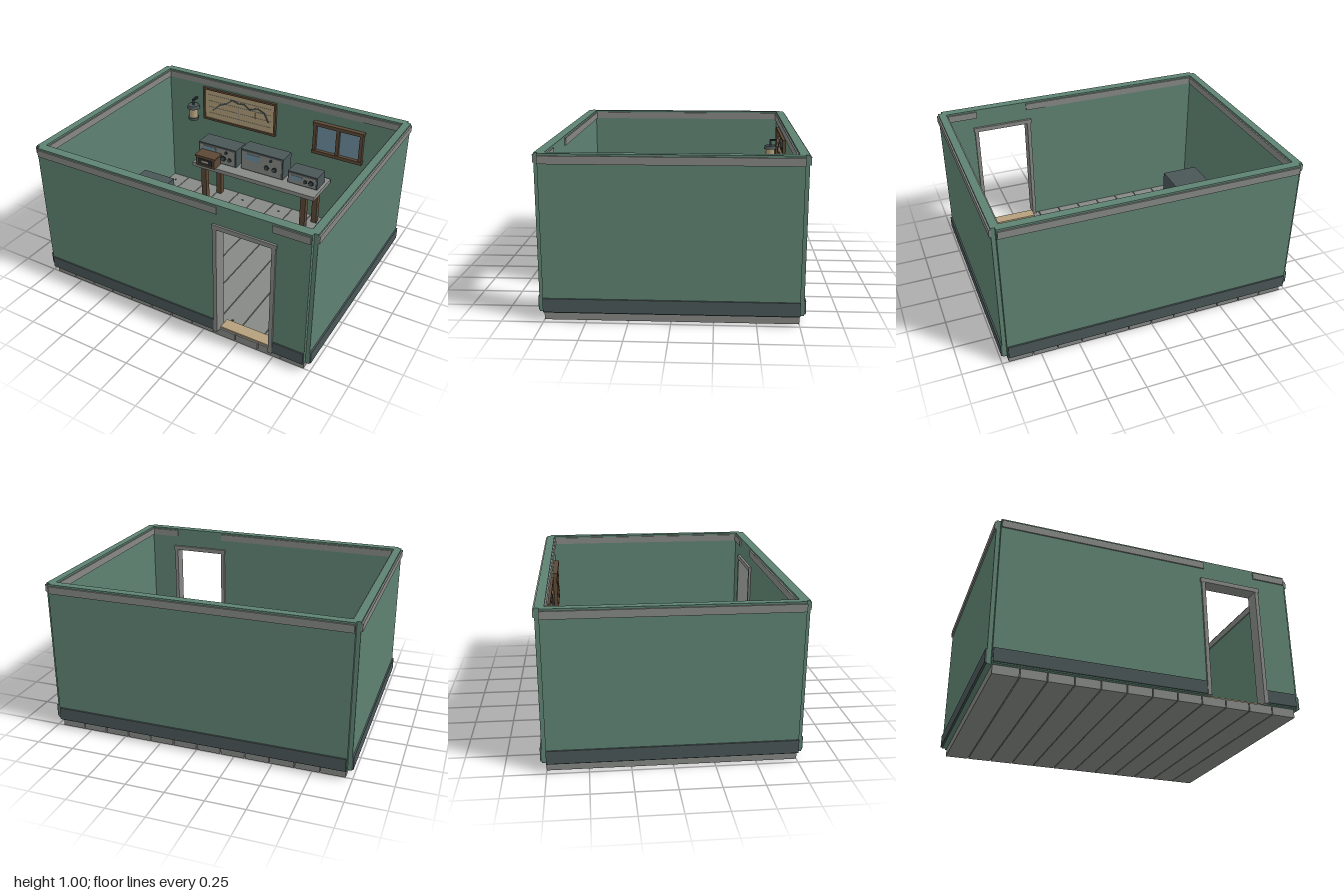
import * as THREE from 'three';

const mat = (name, color) => {
  const m = new THREE.MeshStandardMaterial({ color });
  m.name = name;
  return m;
};

export function createModel() {
  const green = mat('wall green', 0x5e8272);
  const grey = mat('weathered grey', 0x868885);
  const slate = mat('dark slate', 0x4a5657);
  const brown = mat('brown wood', 0x5c4835);
  const tan = mat('pale tan', 0xb5a07c);
  const blue = mat('glass blue', 0x6c8d9f);
  const dark = mat('near black', 0x272d2d);

  const model = new THREE.Group();
  model.name = 'radioHut';

  const group = (name, parent = model) => {
    const g = new THREE.Group();
    g.name = name;
    parent.add(g);
    return g;
  };
  // Box given by its limits on each axis
  const box = (parent, name, m, [x0, x1], [y0, y1], [z0, z1]) => {
    const b = new THREE.Mesh(new THREE.BoxGeometry(x1 - x0, y1 - y0, z1 - z0), m);
    b.position.set((x0 + x1) / 2, (y0 + y1) / 2, (z0 + z1) / 2);
    b.name = name;
    parent.add(b);
    return b;
  };
  // Upright cylinder, or one facing +z
  const disc = (parent, name, m, r, len, x, y, z, facing = false, rTop = r) => {
    const c = new THREE.Mesh(new THREE.CylinderGeometry(rTop, r, len, 16), m);
    if (facing) c.rotation.x = Math.PI / 2;
    c.position.set(x, y, z);
    c.name = name;
    parent.add(c);
    return c;
  };

  // Floor planks with open seams, and nail heads on every second plank
  const floor = group('floor');
  for (let i = 0; i < 12; i++) {
    const x = -0.88 + i * 0.16;
    box(floor, 'plank', grey, [x - 0.077, x + 0.077], [0, 0.055], [-0.75, 0.75]);
    if (i % 2 === 0) for (const z of [-0.64, 0.64]) disc(floor, 'nail', slate, 0.008, 0.006, x, 0.057, z);
  }

  // Walls, the front one cut for the doorway
  const walls = group('walls');
  const front = new THREE.Shape([
    [-0.965, 0.055], [0.36, 0.055], [0.36, 0.85], [0.74, 0.85],
    [0.74, 0.055], [0.965, 0.055], [0.965, 1.004], [-0.965, 1.004],
  ].map(([x, y]) => new THREE.Vector2(x, y)));
  const frontWall = new THREE.Mesh(
    new THREE.ExtrudeGeometry(front, { depth: 0.06, bevelEnabled: false }), green);
  frontWall.position.z = 0.715;
  frontWall.name = 'frontWall';
  walls.add(frontWall);
  box(walls, 'backWall', green, [-0.965, 0.965], [0.055, 1.004], [-0.775, -0.72]);
  for (const s of [-1, 1]) {
    const side = s < 0 ? [-0.99, -0.94] : [0.94, 0.99];
    box(walls, 'sideWall', green, side, [0.055, 1.004], [-0.75, 0.75]);
  }

  // Top trim inside and out, and the outer skirting
  const trim = group('trim');
  const topY = [0.945, 0.992], baseY = [0.062, 0.145];
  for (const [x0, x1] of [[-0.96, 0.37], [0.73, 0.96]]) {
    box(trim, 'frontTopTrim', grey, [x0, x1], topY, [0.774, 0.783]);
    box(trim, 'frontInnerTrim', grey, [Math.max(x0, -0.94), Math.min(x1, 0.94)], topY, [0.705, 0.716]);
  }
  for (const r of [[-0.96, 0.345], [0.755, 0.96]]) box(trim, 'frontSkirting', slate, r, baseY, [0.774, 0.783]);
  box(trim, 'backTopTrim', grey, [-0.96, 0.96], topY, [-0.785, -0.774]);
  box(trim, 'backInnerTrim', grey, [-0.94, 0.94], topY, [-0.721, -0.711]);
  box(trim, 'backSkirting', slate, [-0.96, 0.96], baseY, [-0.785, -0.774]);
  for (const s of [-1, 1]) {
    const span = (a, b) => (s < 0 ? [-b, -a] : [a, b]);
    box(trim, 'sideTopTrim', grey, span(0.989, 1), topY, [-0.75, 0.75]);
    box(trim, 'sideInnerTrim', grey, span(0.931, 0.941), topY, [-0.715, 0.71]);
    box(trim, 'sideSkirting', slate, span(0.989, 1), baseY, [-0.75, 0.75]);
  }

  // Door frame and threshold
  const door = group('doorFrame');
  box(door, 'doorJamb', grey, [0.345, 0.37], [0.055, 0.84], [0.7, 0.787]);
  box(door, 'doorJamb', grey, [0.73, 0.755], [0.055, 0.84], [0.7, 0.787]);
  box(door, 'doorHead', grey, [0.34, 0.76], [0.84, 0.87], [0.698, 0.788]);
  box(door, 'threshold', tan, [0.37, 0.73], [0.055, 0.066], [0.66, 0.74]);

  // Window on the inside of the back wall
  const win = group('window');
  box(win, 'glass', blue, [0.32, 0.675], [0.64, 0.85], [-0.72, -0.711]);
  for (const x of [0.318, 0.497, 0.675]) box(win, 'windowBar', brown, [x - 0.012, x + 0.012], [0.64, 0.85], [-0.72, -0.69]);
  for (const y of [0.632, 0.857]) box(win, 'windowRail', brown, [0.302, 0.692], [y - 0.013, y + 0.013], [-0.72, -0.685]);

  // Framed wall chart with ruled lines and a plotted curve
  const chart = group('wallChart');
  box(chart, 'paper', tan, [-0.625, -0.015], [0.67, 0.915], [-0.72, -0.71]);
  for (const y of [0.667, 0.918]) box(chart, 'chartRail', brown, [-0.633, -0.005], [y - 0.008, y + 0.008], [-0.72, -0.7]);
  for (const x of [-0.625, -0.013]) box(chart, 'chartSide', brown, [x - 0.008, x + 0.008], [0.67, 0.915], [-0.72, -0.7]);
  for (const y of [0.72, 0.77, 0.82, 0.87]) box(chart, 'ruledLine', grey, [-0.59, -0.05], [y - 0.001, y + 0.001], [-0.711, -0.708]);
  for (const x of [-0.46, -0.32, -0.18]) box(chart, 'ruledLine', grey, [x - 0.001, x + 0.001], [0.69, 0.9], [-0.711, -0.708]);
  const plot = [[-0.55, 0.745], [-0.49, 0.8], [-0.434, 0.825], [-0.376, 0.868], [-0.327, 0.852],
    [-0.277, 0.857], [-0.227, 0.825], [-0.161, 0.85], [-0.103, 0.825], [-0.07, 0.76]];
  for (let i = 1; i < plot.length; i++) {
    const [ax, ay] = plot[i - 1], [bx, by] = plot[i];
    const l = Math.hypot(bx - ax, by - ay) / 2 + 0.003;
    const seg = box(chart, 'plottedCurve', slate, [-l, l], [-0.005, 0.005], [-0.711, -0.705]);
    seg.position.set((ax + bx) / 2, (ay + by) / 2, -0.708);
    seg.rotation.z = Math.atan2(by - ay, bx - ax);
  }

  // Lantern hung from a wall bracket
  const lamp = group('lantern');
  disc(lamp, 'lampBase', slate, 0.042, 0.02, -0.7, 0.665, -0.665);
  disc(lamp, 'lampGlass', tan, 0.034, 0.08, -0.7, 0.71, -0.665);
  disc(lamp, 'lampCap', slate, 0.05, 0.025, -0.7, 0.762, -0.665, false, 0.042);
  disc(lamp, 'lampStem', slate, 0.007, 0.045, -0.7, 0.795, -0.665);
  box(lamp, 'lampBracket', dark, [-0.708, -0.692], [0.808, 0.822], [-0.72, -0.66]);

  // Desk
  const desk = group('desk');
  box(desk, 'deskTop', grey, [-0.55, 0.47], [0.405, 0.437], [-0.695, -0.4]);
  for (const x of [-0.46, 0.38]) for (const z of [-0.655, -0.435]) {
    box(desk, 'deskLeg', brown, [x - 0.021, x + 0.021], [0.055, 0.405], [z - 0.021, z + 0.021]);
  }

  // Radio sets: slate case, grey panel, knobs [x, y, radius], optional display limits
  const radio = (name, xs, top, [z0, z1], knobs, display) => {
    const g = group(name);
    box(g, 'case', slate, xs, [0.437, top], [z0, z1]);
    box(g, 'panel', grey, [xs[0] + 0.01, xs[1] - 0.01], [0.447, top - 0.01], [z1, z1 + 0.005]);
    if (display) box(g, 'display', blue, display[0], display[1], [z1 + 0.003, z1 + 0.008]);
    for (const [x, y, r] of knobs) {
      disc(g, 'knobRing', dark, r, 0.008, x, y, z1 + 0.007, true);
      disc(g, 'knob', slate, r * 0.7, 0.02, x, y, z1 + 0.011, true);
    }
  };
  radio('receiver', [-0.543, -0.217], 0.58, [-0.63, -0.487],
    [[-0.325, 0.49, 0.022], [-0.27, 0.49, 0.015], [-0.3, 0.545, 0.012]], [[-0.5, -0.39], [0.53, 0.56]]);
  radio('transmitter', [-0.184, 0.168], 0.607, [-0.636, -0.503],
    [[0.035, 0.505, 0.02], [0.1, 0.505, 0.02], [0.07, 0.572, 0.01]], [[-0.14, -0.02], [0.53, 0.58]]);
  radio('powerUnit', [0.211, 0.447], 0.535, [-0.63, -0.5],
    [[0.4, 0.482, 0.02], [0.355, 0.482, 0.014]], [[0.235, 0.325], [0.475, 0.51]]);

  // Small wooden meter at the desk edge
  const meter = group('woodenMeter');
  box(meter, 'meterCase', brown, [-0.505, -0.345], [0.437, 0.515], [-0.476, -0.38]);
  box(meter, 'meterLid', brown, [-0.512, -0.338], [0.515, 0.527], [-0.48, -0.374]);
  box(meter, 'meterFace', dark, [-0.485, -0.365], [0.452, 0.503], [-0.381, -0.376]);
  box(meter, 'meterScale', tan, [-0.455, -0.395], [0.475, 0.49], [-0.377, -0.374]);

  // Row of equipment cases along the right-hand wall
  for (const z of [-0.155, 0.102, 0.363]) {
    const g = group('equipmentCase');
    const f = z + 0.112;
    box(g, 'caseBody', slate, [-0.906, -0.638], [0.055, 0.33], [z - 0.112, f]);
    box(g, 'caseHandle', grey, [-0.82, -0.725], [0.2, 0.22], [f, f + 0.008]);
    for (const x of [-0.88, -0.664]) box(g, 'caseLatch', dark, [x - 0.013, x + 0.013], [0.26, 0.3], [f, f + 0.01]);
  }

  return model;
}
